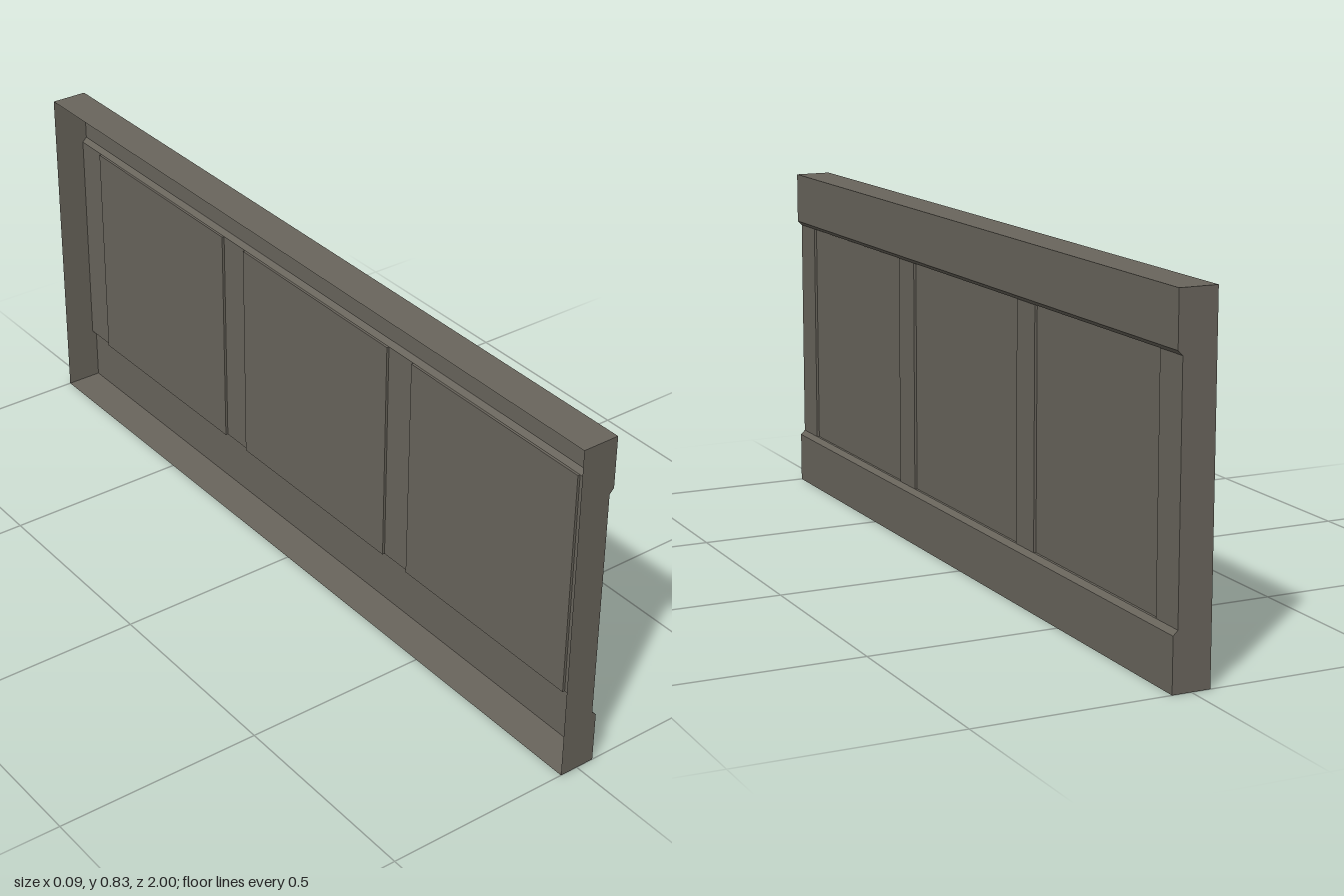
import * as THREE from 'three';

const H = 0.835, BACK = -0.045, RAIL = 0.045, STILE = 0.034, PANEL = 0.028;
const LOW = 0.136, HIGH = H - LOW, CHAMFER = 0.125;
const HALF = 1;

export function createModel() {
  const group = new THREE.Group();
  const paint = new THREE.MeshStandardMaterial({ color: 0x69655c, side: THREE.DoubleSide });
  paint.name = 'warm grey paint';

  const add = (name, geometry) => {
    const mesh = new THREE.Mesh(geometry, paint);
    mesh.name = name;
    group.add(mesh);
    return mesh;
  };

  // Flat-shaded sheet made of four-cornered faces
  const sheet = (name, quads) => {
    const pos = [];
    for (const [a, b, c, d] of quads) pos.push(...a, ...b, ...c, ...a, ...c, ...d);
    const g = new THREE.BufferGeometry();
    g.setAttribute('position', new THREE.Float32BufferAttribute(pos, 3));
    g.computeVertexNormals();
    return add(name, g);
  };

  // Rail: an x,y profile swept along the full length
  const rail = (name, pts) => sheet(name, pts.slice(1).map(([x1, y1], i) => {
    const [x0, y0] = pts[i];
    return [[x0, y0, HALF], [x0, y0, -HALF], [x1, y1, -HALF], [x1, y1, HALF]];
  }));

  const bottom = [[BACK, 0], [RAIL, 0], [RAIL, CHAMFER], [STILE, LOW]];
  const top = bottom.map(([x, y]) => [x, H - y]).reverse();
  rail('bottomRail', bottom);
  rail('topRail', top);

  // Upright face between two z positions
  const upright = (x0, z0, x1, z1) =>
    [[x0, LOW, z0], [x1, LOW, z1], [x1, HIGH, z1], [x0, HIGH, z0]];

  // Stiles, level with the inner edges of the rails
  const stiles = [[1, 0.911], [0.364, 0.277], [-0.277, -0.364], [-0.911, -1]];
  for (const [z0, z1] of stiles) sheet('stile', [upright(STILE, z0, STILE, z1)]);

  // Sunken panels with their four step walls
  for (let i = 0; i < 3; i++) {
    const z0 = stiles[i][1], z1 = stiles[i + 1][0];
    const ledge = (y) => [[PANEL, y, z0], [STILE, y, z0], [STILE, y, z1], [PANEL, y, z1]];
    sheet('sunkenPanel', [
      upright(PANEL, z0, PANEL, z1),
      upright(STILE, z0, PANEL, z0),
      upright(PANEL, z1, STILE, z1),
      ledge(LOW),
      ledge(HIGH).reverse(),
    ]);
  }

  // End caps follow the rail profile; the back stays open
  const outline = new THREE.Shape([...bottom, ...top].map(([x, y]) => new THREE.Vector2(x, y)));
  for (const side of [1, -1]) {
    const g = new THREE.ShapeGeometry(outline);
    if (side < 0) {
      // Turn the far cap to face outwards
      const index = Array.from(g.index.array).reverse();
      g.setIndex(index);
      g.computeVertexNormals();
    }
    g.translate(0, 0, side * HALF);
    add('endCap', g);
  }

  return group;
}
